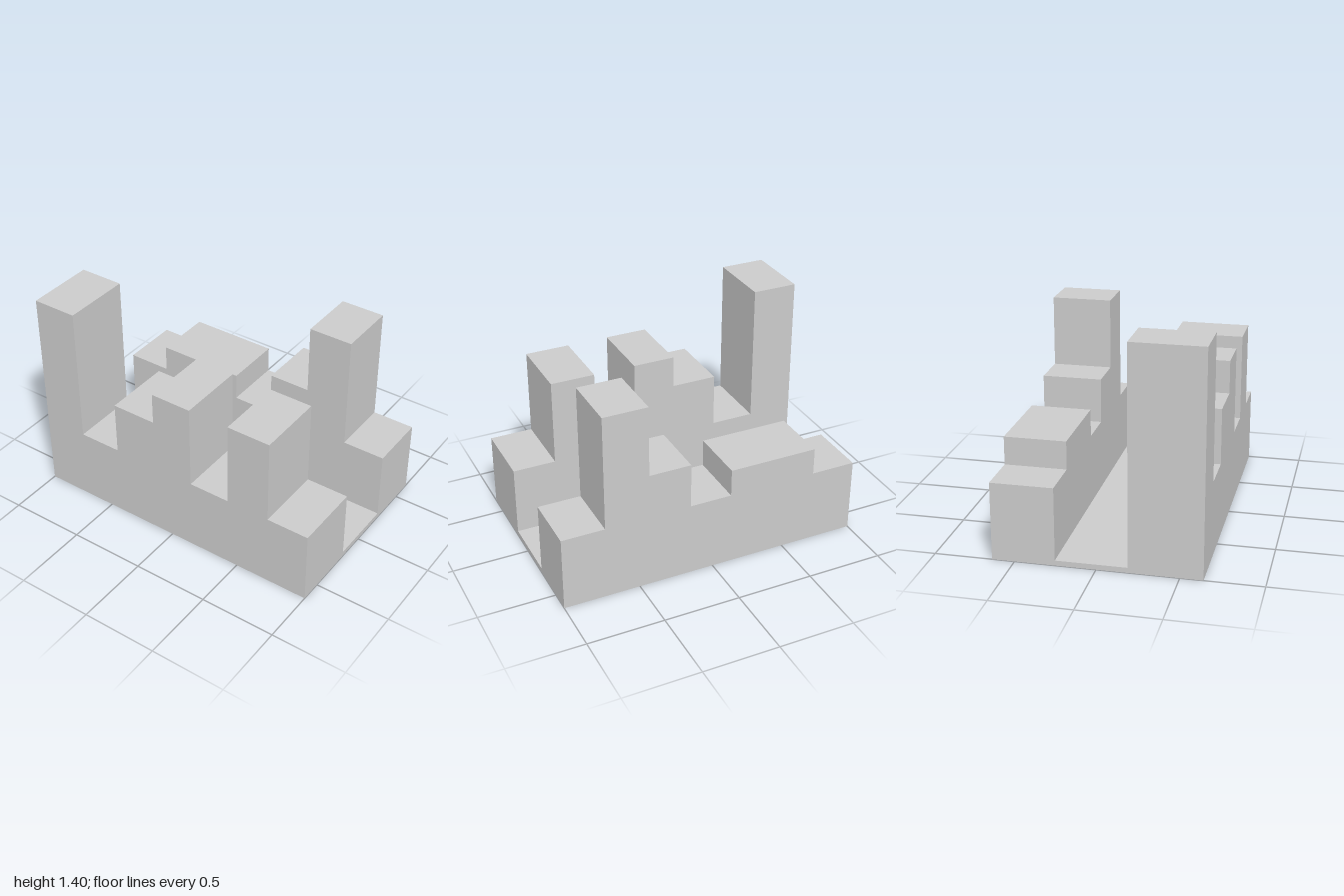
import * as THREE from 'three';

const material = new THREE.MeshStandardMaterial({ color: 0xcccccc, flatShading: true });

// A stepped wall: one outline of [right edge, height] steps, extruded from zBack to zFront
function steppedWall(name, steps, zBack, zFront) {
  const shape = new THREE.Shape();
  shape.moveTo(1, 0);
  let x = -1;
  const outline = [];
  for (const [right, height] of steps) {
    outline.push([x, height], [right, height]);
    x = right;
  }
  for (const [px, py] of outline.reverse()) shape.lineTo(px, py);
  shape.lineTo(-1, 0);
  shape.closePath();
  const geometry = new THREE.ExtrudeGeometry(shape, { depth: zFront - zBack, bevelEnabled: false });
  const mesh = new THREE.Mesh(geometry, material);
  mesh.position.z = zBack;
  mesh.name = name;
  return mesh;
}

export function createModel() {
  const group = new THREE.Group();
  group.name = 'steppedBlocks';

  // Front wall with the tallest tower at its right end
  group.add(steppedWall('frontWall', [
    [-0.705, 1.405], [-0.42, 0.495], [-0.12, 0.85], [0.155, 1.06],
    [0.43, 0.495], [0.72, 1.06], [1, 0.495],
  ], 0.19, 0.64));

  // Back wall with a wide low block and one tower
  group.add(steppedWall('backWall', [
    [-0.705, 0.495], [-0.12, 0.675], [0.155, 0.495],
    [0.43, 0.79], [0.72, 1.255], [1, 0.495],
  ], -0.64, -0.25));

  // Thin floor of the channel between the walls
  const floor = new THREE.Mesh(new THREE.BoxGeometry(2, 0.033, 0.44), material);
  floor.position.set(0, 0.0165, -0.03);
  floor.name = 'channelFloor';
  group.add(floor);

  return group;
}
